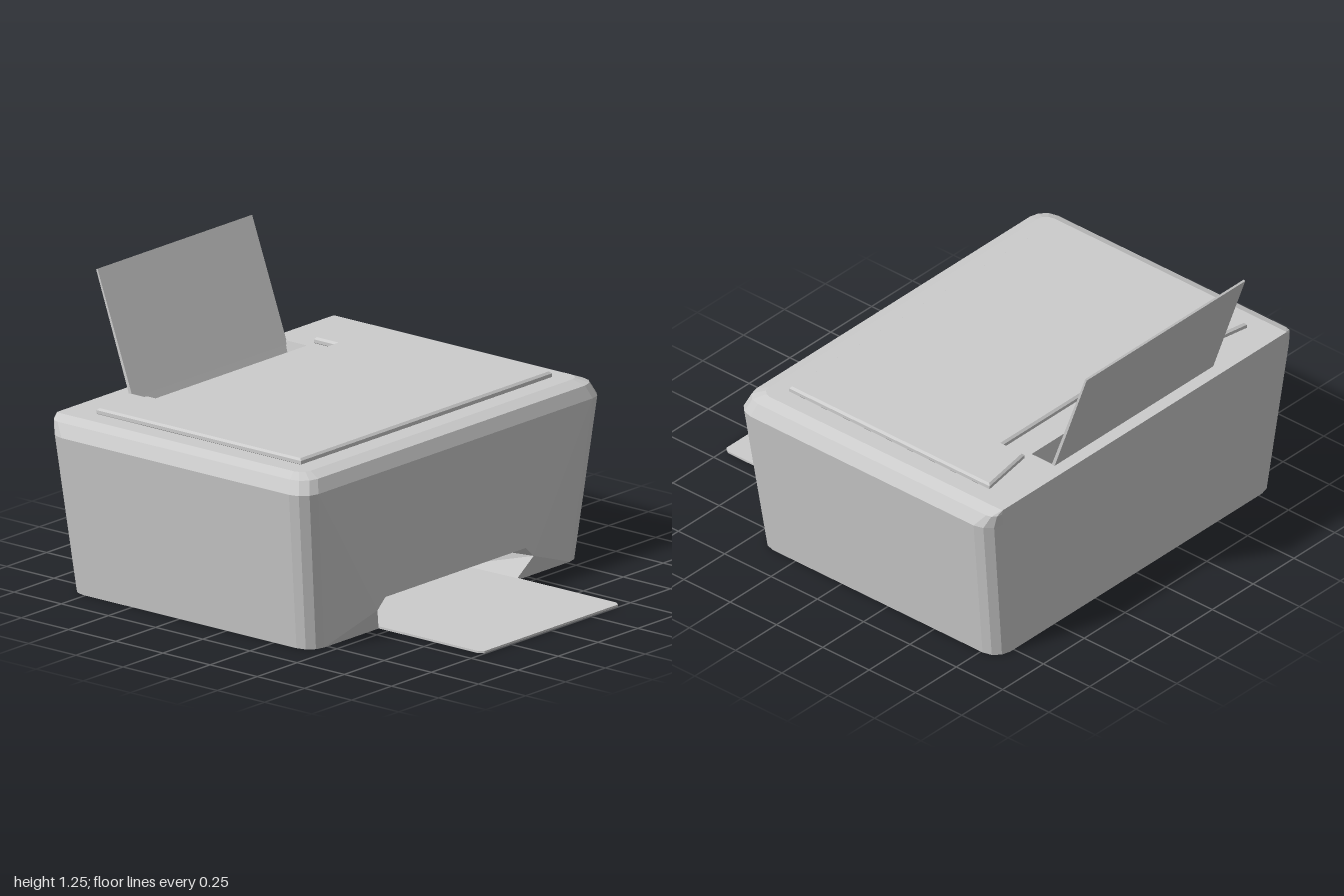
import * as THREE from 'three';

const grey = new THREE.MeshStandardMaterial({ color: 0xcccccc, flatShading: true });
const greyDouble = new THREE.MeshStandardMaterial({ color: 0xcccccc, flatShading: true, side: THREE.DoubleSide });
const V = (x, y, z) => new THREE.Vector3(x, y, z);

function add(group, name, geometry, material = grey) {
  const mesh = new THREE.Mesh(geometry, material);
  mesh.name = name;
  group.add(mesh);
  return mesh;
}

function fromTriangles(points) {
  const g = new THREE.BufferGeometry().setFromPoints(points);
  g.computeVertexNormals();
  return g;
}

function quad(out, a, b, c, d) {
  out.push(a, b, c, a, c, d);
}

// Rounded rectangle at height y, counterclockwise from above, starting on the +x side
function ring(y, x0, x1, hz, rFar, rNear, n = 3) {
  const pts = [];
  const corners = [[x1, -hz, rNear], [x0, -hz, rFar], [x0, hz, rFar], [x1, hz, rNear]];
  corners.forEach(([x, z, r], k) => {
    const cx = x - Math.sign(x) * r, cz = z - Math.sign(z) * r;
    for (let i = 0; i <= n; i++) {
      const a = (k + i / n) * Math.PI / 2;
      pts.push(V(cx + r * Math.cos(a), y, cz - r * Math.sin(a)));
    }
  });
  return pts;
}

function loft(out, a, b, closed) {
  const n = a.length;
  for (let i = 0; i < (closed ? n : n - 1); i++) {
    const j = (i + 1) % n;
    quad(out, a[i], a[j], b[j], b[i]);
  }
}

function flatShape(points) {
  return new THREE.Shape(points.map(([x, z]) => new THREE.Vector2(x, -z)));
}

function plate(points, y, depth, bevel = 0) {
  const g = new THREE.ExtrudeGeometry(flatShape(points), {
    depth: depth - bevel, bevelEnabled: bevel > 0, bevelThickness: bevel, bevelSize: bevel, bevelOffset: -bevel, bevelSegments: 1,
  });
  return g.rotateX(-Math.PI / 2).translate(0, y, 0);
}

export function createModel() {
  const model = new THREE.Group();
  model.name = 'printer';

  // Tapered housing: bevelled on three top edges, sharp along -x
  const rings = [
    ring(0, -0.84, 0.45, 0.85, 0.08, 0.08),
    ring(0.68, -0.88, 0.495, 0.945, 0.085, 0.085),
    ring(0.735, -0.884, 0.473, 0.918, 0.045, 0.08),
    ring(0.755, -0.885, 0.42, 0.87, 0.004, 0.05),
  ];
  const shell = [];
  rings.slice(1).forEach((r, i) => loft(shell, rings[i], r, i > 0));
  for (let i = 1; i < rings[0].length - 1; i++) {
    shell.push(rings[0][0], rings[0][i + 1], rings[0][i]);
  }
  add(model, 'housing', fromTriangles(shell));

  // Face over the paper exit, swelling out to the slot's lip
  const lip = (s) => [V(0.45, 0, s * 0.43), V(0.495, 0.1, s * 0.49), V(0.495, 0.145, s * 0.44)];
  const face = [];
  const last = rings[0].length - 1;
  const topPlus = rings[1][last], topMinus = rings[1][0];
  for (const s of [1, -1]) {
    const [p, q, r] = lip(s);
    const a = rings[0][s > 0 ? last : 0], b = s > 0 ? topPlus : topMinus;
    for (const t of [[a, p, q], [a, q, b], [b, q, r]]) face.push(...(s > 0 ? t : t.reverse()));
  }
  quad(face, lip(1)[2], lip(-1)[2], topMinus, topPlus);
  add(model, 'exitFace', fromTriangles(face));

  // Exit slot narrowing inward to a back wall
  const outer = [...lip(1), ...lip(-1).reverse()];
  const inner = [[0, 0.42], [0.09, 0.43], [0.11, 0.41], [0.11, -0.41], [0.09, -0.43], [0, -0.42]].map(([y, z]) => V(0.12, y, z));
  const slot = [];
  loft(slot, outer, inner, false);
  for (let i = 1; i < 5; i++) slot.push(inner[0], inner[i], inner[i + 1]);
  add(model, 'exitSlot', fromTriangles(slot), greyDouble);

  // Output tray
  add(model, 'outputTray', plate([
    [0.12, 0.43], [0.975, 0.43], [0.998, 0.415], [0.998, -0.425], [0.975, -0.44], [0.12, -0.44],
  ], 0.001, 0.009));

  // Top panel with the feed opening
  const top = flatShape(rings[3].map((p) => [p.x, p.z]));
  const opening = [[-0.815, 0.482], [-0.7, 0.482], [-0.7, -0.482], [-0.815, -0.482]];
  top.holes.push(new THREE.Path(flatShape(opening).getPoints()));
  add(model, 'topPanel', new THREE.ShapeGeometry(top).rotateX(-Math.PI / 2).translate(0, 0.755, 0));

  // Feed chute below the opening
  const chute = [];
  const rim = opening.map(([x, z]) => V(x, 0.755, z));
  const foot = [[-0.72, 0.44], [-0.7, 0.44], [-0.7, -0.44], [-0.72, -0.44]].map(([x, z]) => V(x, 0.51, z));
  loft(chute, rim, foot, true);
  quad(chute, ...foot);
  add(model, 'feedChute', fromTriangles(chute), greyDouble);

  // Leaning paper support, swept along z
  const support = new THREE.Shape([[-0.822, 0.74], [-0.806, 0.74], [-0.993, 1.25], [-1, 1.245]].map(([x, y]) => new THREE.Vector2(x, y)));
  add(model, 'paperSupport', new THREE.ExtrudeGeometry(support, { depth: 0.97, bevelEnabled: false }).translate(0, 0, -0.485));

  // Scanner lid, notched around the feed
  add(model, 'scannerLid', plate([
    [-0.745, 0.785], [0.338, 0.785], [0.338, -0.79], [-0.745, -0.79],
    [-0.7, -0.525], [-0.585, -0.525], [-0.585, 0.52], [-0.7, 0.52],
  ], 0.757, 0.023, 0.009));

  return model;
}
